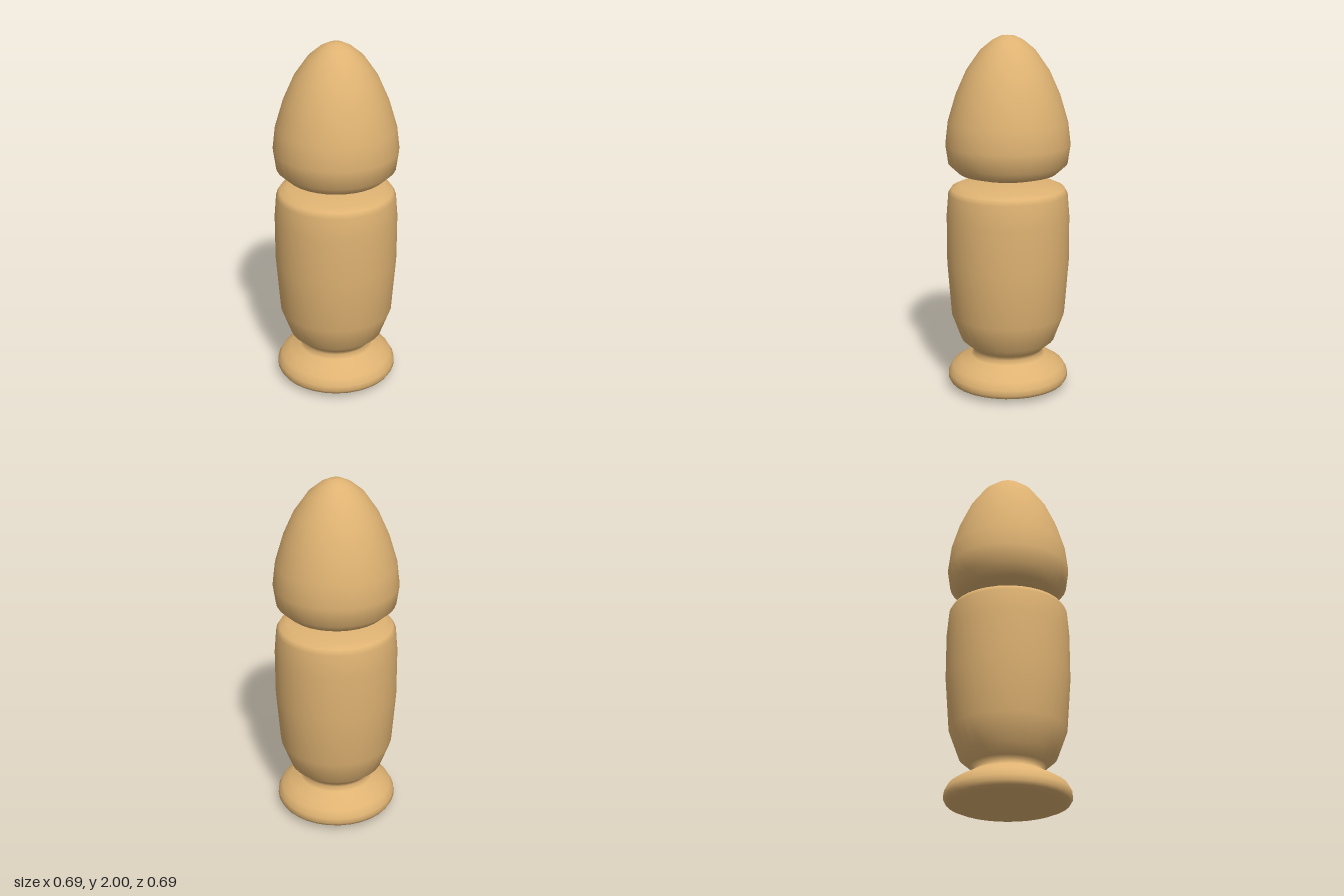
import * as THREE from 'three';

const wood = new THREE.MeshStandardMaterial({ color: 0xdeb272 });

// Turned solid from [radius, height] pairs listed bottom to top
function turned(name, profile) {
  const points = profile.map(([r, y]) => new THREE.Vector2(r, y));
  const mesh = new THREE.Mesh(new THREE.LatheGeometry(points, 32), wood);
  mesh.name = name;
  return mesh;
}

export function createModel() {
  const group = new THREE.Group();
  group.name = 'turnedFigure';

  // Round foot, narrow neck and barrel body in one piece
  group.add(turned('body', [
    [0, 0], [0.17, 0.01], [0.3, 0.022], [0.33, 0.035], [0.342, 0.055],
    [0.34, 0.085], [0.318, 0.125], [0.27, 0.155], [0.21, 0.185],
    [0.19, 0.207], [0.207, 0.235], [0.265, 0.285], [0.32, 0.435],
    [0.343, 0.74], [0.343, 1.0], [0.332, 1.13], [0.315, 1.158],
    [0.27, 1.178], [0.14, 1.194], [0, 1.2],
  ]));

  // Egg-shaped head floating just above the body
  group.add(turned('head', [
    [0, 1.21], [0.12, 1.216], [0.2, 1.228], [0.272, 1.247], [0.33, 1.3],
    [0.345, 1.405], [0.33, 1.53], [0.285, 1.68], [0.227, 1.81],
    [0.15, 1.92], [0.085, 1.973], [0.04, 1.995], [0, 2],
  ]));

  return group;
}
